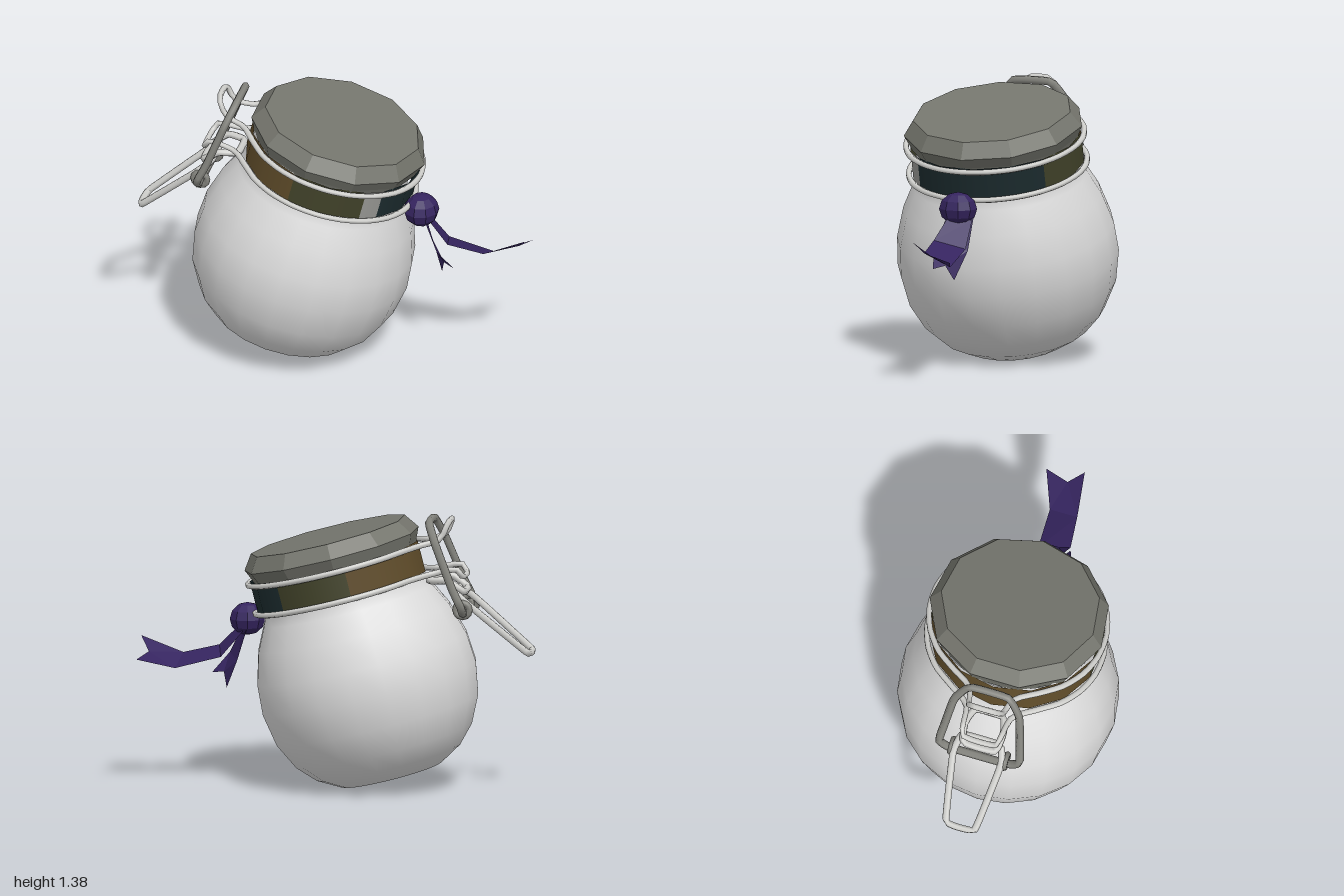
import * as THREE from 'three';

const mat = (name, color, opts = {}) => {
  const m = new THREE.MeshStandardMaterial({ color, ...opts });
  m.name = name;
  return m;
};
const V = (x, y, z) => new THREE.Vector3(x, y, z);

export function createModel() {
  const model = new THREE.Group();
  model.name = 'jar';
  const porcelain = mat('porcelain', 0xdcdcdc);
  const lidGrey = mat('lid grey', 0x75766e, { flatShading: true });
  const wireLight = mat('light wire', 0xd2d2cf);
  const wireGrey = mat('grey wire', 0x85857f);
  const ochre = mat('ochre', 0x5e4b29, { side: THREE.DoubleSide });
  const olive = mat('olive', 0x42432a, { side: THREE.DoubleSide });
  const teal = mat('dark teal', 0x1d2d30, { side: THREE.DoubleSide });
  const patchGrey = mat('patch grey', 0x9c9c98, { side: THREE.DoubleSide });
  const purple = mat('purple cloth', 0x35245f, { side: THREE.DoubleSide, flatShading: true });

  const add = (parent, name, geometry, material) => {
    const m = new THREE.Mesh(geometry, material);
    m.name = name;
    parent.add(m);
    return m;
  };
  const lathe = (pts, sides) =>
    new THREE.LatheGeometry(pts.map(p => new THREE.Vector2(...p)), sides, Math.PI / 2);

  // Leaning frame shared by the vessel, lid, band and rings
  const tilt = new THREE.Group();
  tilt.name = 'leaningJar';
  tilt.position.set(-0.285, 0.08, 0);
  tilt.rotation.z = -0.253;
  model.add(tilt);

  // Round vessel
  add(tilt, 'vessel', lathe([[0, -0.012], [0.15, -0.012], [0.26, -0.006], [0.375, 0.06], [0.46, 0.15],
    [0.528, 0.285], [0.558, 0.45], [0.547, 0.6], [0.5, 0.76], [0.44, 0.88], [0.41, 0.95], [0.41, 1.1]], 20), porcelain);

  // Faceted lid
  const neck = new THREE.Group();
  neck.name = 'neckAndLid';
  neck.position.x = 0.013;
  tilt.add(neck);
  add(neck, 'lid', lathe([[0, 1.08], [0.42, 1.08], [0.43, 1.11], [0.455, 1.165], [0.402, 1.24], [0, 1.24]], 11), lidGrey);

  // Coloured band; angles in degrees from +x, positive towards the front
  const bandPart = (name, from, to, material, r = 0.437) => {
    const a = THREE.MathUtils.degToRad(from), b = THREE.MathUtils.degToRad(to);
    const g = new THREE.CylinderGeometry(r, r, 0.16, Math.max(1, Math.round((to - from) / 25)), 1, true,
      Math.PI / 2 - b, b - a);
    add(neck, name, g, material).position.y = 1.03;
  };
  bandPart('bandTeal', -55, 42, teal);
  bandPart('bandPatch', 42, 55, patchGrey);
  bandPart('bandOliveFront', 55, 105, olive);
  bandPart('bandOliveBack', -105, -55, olive);
  bandPart('bandOchre', 105, 255, ochre);

  // Closed wire loops, given as one half and mirrored in z
  const wire = (parent, name, half, r, material, tension, steps) => {
    const pts = half.map(p => V(...p));
    const back = half.filter(p => p[2] !== 0).map(p => V(p[0], p[1], -p[2])).reverse();
    const curve = new THREE.CatmullRomCurve3([...pts, ...back], true, 'catmullrom', tension);
    add(parent, name, new THREE.TubeGeometry(curve, steps, r, 6, true), material);
  };
  const ring = (name, y, tail) => {
    const half = [];
    for (let i = 0; i <= 9; i++) {
      const a = i * 0.29;
      half.push([0.013 + 0.45 * Math.cos(a), y, 0.45 * Math.sin(a)]);
    }
    wire(tilt, name, [...half, ...tail], 0.015, wireLight, 0.4, 72);
  };
  ring('upperRing', 1.098, [[-0.45, 1.095, 0.12], [-0.55, 1.1, 0.09], [-0.61, 1.17, 0.07]]);
  ring('lowerRing', 0.948, [[-0.46, 0.942, 0.12], [-0.59, 0.937, 0.1], [-0.615, 0.89, 0.08]]);

  // Wire clasp
  wire(model, 'claspUpright', [[-0.49, 1.365, 0.1], [-0.535, 1.26, 0.17], [-0.62, 1.05, 0.2],
    [-0.665, 0.96, 0.21], [-0.67, 0.915, 0.15]], 0.021, wireGrey, 0.2, 50);
  wire(model, 'claspLever', [[-0.985, 0.715, 0.075], [-0.7, 0.955, 0.125], [-0.62, 1.02, 0.1]],
    0.018, wireLight, 0.12, 48);
  wire(model, 'claspLink', [[-0.49, 1.07, 0.07], [-0.58, 1.075, 0.1], [-0.66, 1.02, 0.08]],
    0.019, wireLight, 0.25, 32);
  for (const s of [-1, 1]) {
    const eye = add(model, s > 0 ? 'claspEyeFront' : 'claspEyeBack',
      new THREE.TorusGeometry(0.035, 0.017, 6, 12), wireGrey);
    eye.position.set(-0.665, 0.935, s * 0.14);
  }

  // Ribbon knot
  const knot = add(model, 'ribbonKnot', new THREE.SphereGeometry(1, 9, 6), purple);
  knot.position.set(0.448, 0.845, 0.02);
  knot.scale.set(0.09, 0.083, 0.098);

  // Ribbon tails: two edges with a notched end
  const tail = (name, edgeA, edgeB, notch) => {
    const pos = [], index = [], n = edgeA.length;
    edgeA.forEach((p, i) => pos.push(...p, ...edgeB[i]));
    pos.push(...notch);
    for (let i = 0; i < n - 2; i++) {
      const k = 2 * i;
      index.push(k, k + 2, k + 1, k + 1, k + 2, k + 3);
    }
    const k = 2 * (n - 2), t = 2 * n;
    index.push(k, k + 2, t, k, t, k + 1, k + 1, t, k + 3);
    const g = new THREE.BufferGeometry();
    g.setAttribute('position', new THREE.Float32BufferAttribute(pos, 3));
    g.setIndex(index);
    g.computeVertexNormals();
    add(model, name, g, purple);
  };
  tail('longRibbonTail',
    [[0.48, 0.82, 0.05], [0.6, 0.7, 0.09], [0.78, 0.66, 0.07], [0.99, 0.745, 0.045]],
    [[0.46, 0.79, -0.06], [0.57, 0.66, -0.07], [0.8, 0.6, -0.08], [0.985, 0.65, -0.155]],
    [0.94, 0.675, -0.03]);
  tail('shortRibbonTail',
    [[0.44, 0.8, -0.06], [0.49, 0.64, -0.05], [0.55, 0.495, 0]],
    [[0.48, 0.8, 0.07], [0.55, 0.66, 0.11], [0.635, 0.56, 0.08]],
    [0.57, 0.57, 0.04]);

  return model;
}
